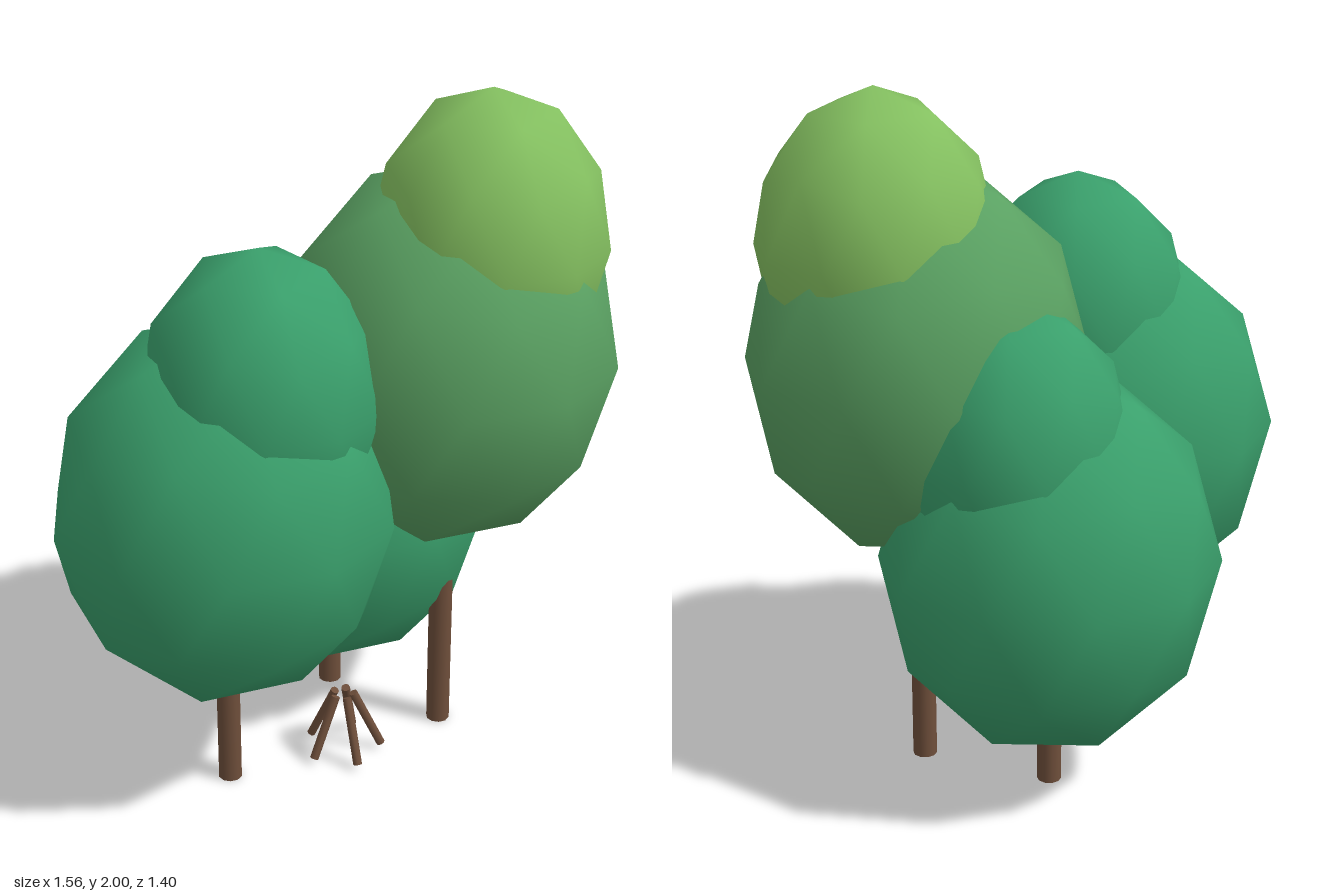
import * as THREE from 'three';

const paint = (color, flatShading = false) => {
  const m = new THREE.MeshStandardMaterial({ flatShading });
  m.color.set(color);
  return m;
};
const bark = paint(0x6f4f3b);
const deepGreen = paint(0x3aa06c);
const midGreen = paint(0x5aa162);
const lightGreen = paint(0x84c060);

// Smooth low-poly ellipsoid with a vertex at each pole
function foliage(name, material, [x, y, z], [rx, ry, rz]) {
  const geo = new THREE.IcosahedronGeometry(1, 1);
  geo.rotateZ(-Math.atan(2 / (1 + Math.sqrt(5))));
  geo.scale(rx, ry, rz);
  const mesh = new THREE.Mesh(geo, material);
  mesh.name = name;
  mesh.position.set(x, y, z);
  return mesh;
}

// Round pole running from point a to point b
function pole(name, a, b, radius, sides) {
  const dir = b.clone().sub(a);
  const mesh = new THREE.Mesh(new THREE.CylinderGeometry(radius, radius, dir.length(), sides), bark);
  mesh.name = name;
  mesh.position.copy(a).addScaledVector(dir, 0.5);
  mesh.quaternion.setFromUnitVectors(new THREE.Vector3(0, 1, 0), dir.normalize());
  return mesh;
}

// Trunk, large crown and a smaller crown on top, shifted to the side
function tree(name, x, z, crownY, lower, upper) {
  const g = new THREE.Group();
  g.name = name;
  g.position.set(x, 0, z);
  g.add(
    pole('trunk', new THREE.Vector3(0, 0, 0), new THREE.Vector3(0, crownY - 0.35, 0), 0.035, 10),
    foliage('lowerCrown', lower, [0, crownY, 0], [0.482, 0.565, 0.455]),
    foliage('upperCrown', upper, [0.107, crownY + 0.335, 0], [0.335, 0.435, 0.335])
  );
  return g;
}

export function createModel() {
  const model = new THREE.Group();
  model.name = 'treeGroup';
  model.add(
    tree('rightTree', -0.328, 0.25, 0.895, deepGreen, deepGreen),
    tree('backTree', 0, -0.245, 0.695, deepGreen, deepGreen),
    tree('tallTree', 0.313, -0.005, 1.23, midGreen, lightGreen)
  );

  // Ring of sticks leaning together
  const sticks = new THREE.Group();
  sticks.name = 'leaningSticks';
  sticks.position.set(0.012, 0, 0.147);
  for (let i = 0; i < 5; i++) {
    const a = (i / 5) * Math.PI * 2;
    const at = (r, y) => new THREE.Vector3(Math.cos(a) * r, y, Math.sin(a) * r);
    sticks.add(pole('stick', at(0.112, 0.018), at(0.029, 0.2), 0.013, 8));
  }
  model.add(sticks);
  return model;
}
